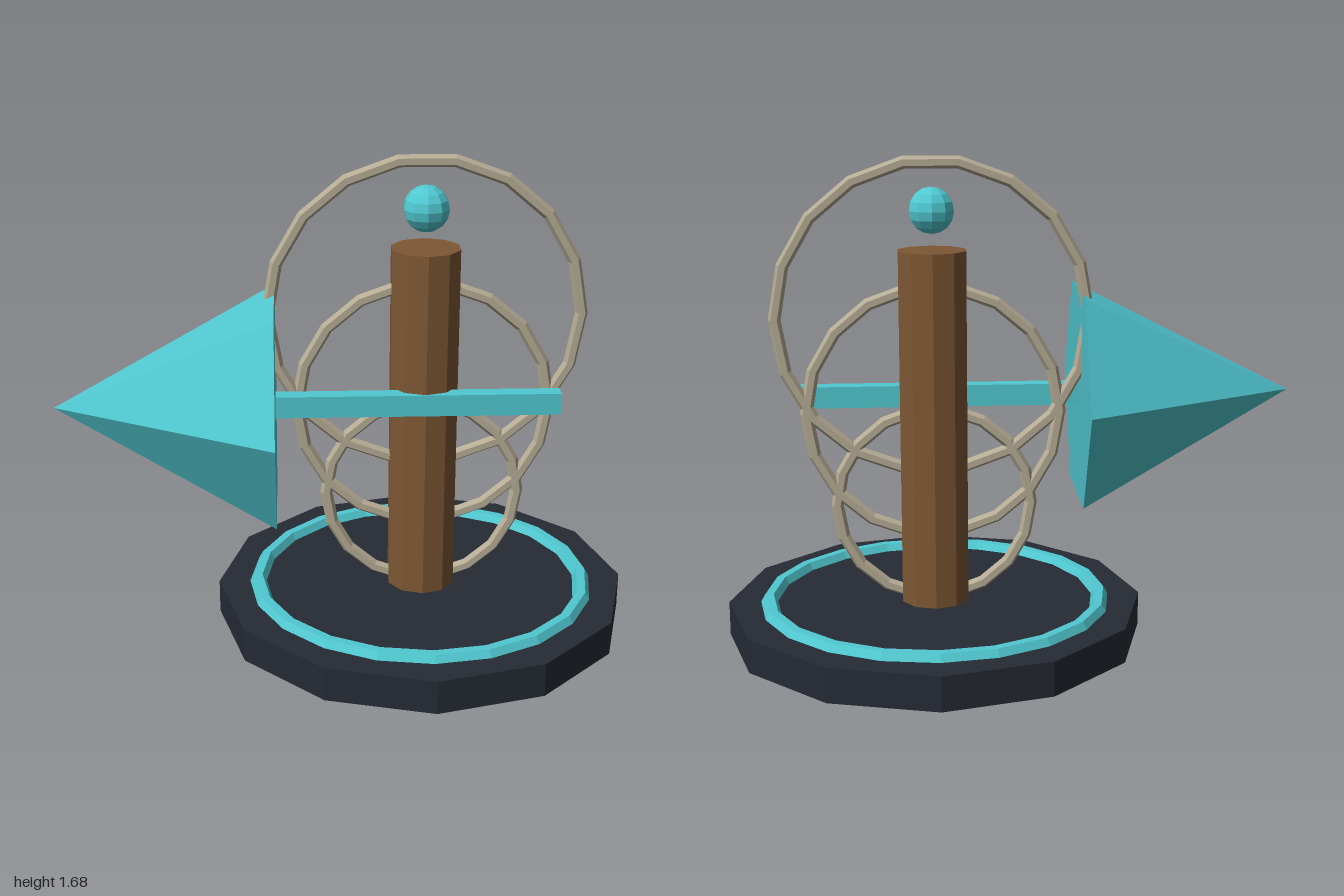
import * as THREE from 'three';

const mat = (color) => new THREE.MeshStandardMaterial({ color, flatShading: true });

export function createModel() {
  const group = new THREE.Group();
  const dark = mat(0x252a34), teal = mat(0x50c8d0), wood = mat(0x7d5733), metal = mat(0xb5ab93);
  const axisX = 0.27; // everything on the base shares this vertical axis

  const add = (name, geometry, material, x, y, z) => {
    const mesh = new THREE.Mesh(geometry, material);
    mesh.name = name;
    mesh.position.set(x, y, z);
    group.add(mesh);
    return mesh;
  };

  // Twelve-sided base with an inlaid ring
  add('base', new THREE.CylinderGeometry(0.73, 0.73, 0.12, 12), dark, axisX, 0.06, 0);
  add('baseRing', new THREE.TorusGeometry(0.588, 0.03, 6, 20), teal, axisX, 0.12, 0).rotation.x = -Math.PI / 2;

  // Post and the ball floating over it
  add('post', new THREE.CylinderGeometry(0.122, 0.122, 1.245, 10), wood, axisX, 0.7425, 0);
  add('ball', new THREE.SphereGeometry(0.08, 10, 8), teal, axisX, 1.5, 0).rotation.y = Math.PI / 2;

  // Upright hoops, growing towards the top
  for (let i = 0; i < 3; i++) {
    add('hoop' + (i + 1), new THREE.TorusGeometry(0.34 + i * 0.1, 0.022, 6, 18), metal, axisX, 0.47 + i * 0.33, 0);
  }

  // Pointer: beam in front of the post with a six-sided cone on its right end
  add('beam', new THREE.BoxGeometry(1.0, 0.076, 0.058), teal, 0.235, 0.84, 0.098);
  add('pointerCone', new THREE.ConeGeometry(0.425, 0.755, 6), teal, -0.6225, 0.84, 0.098).rotation.z = Math.PI / 2;

  return group;
}
